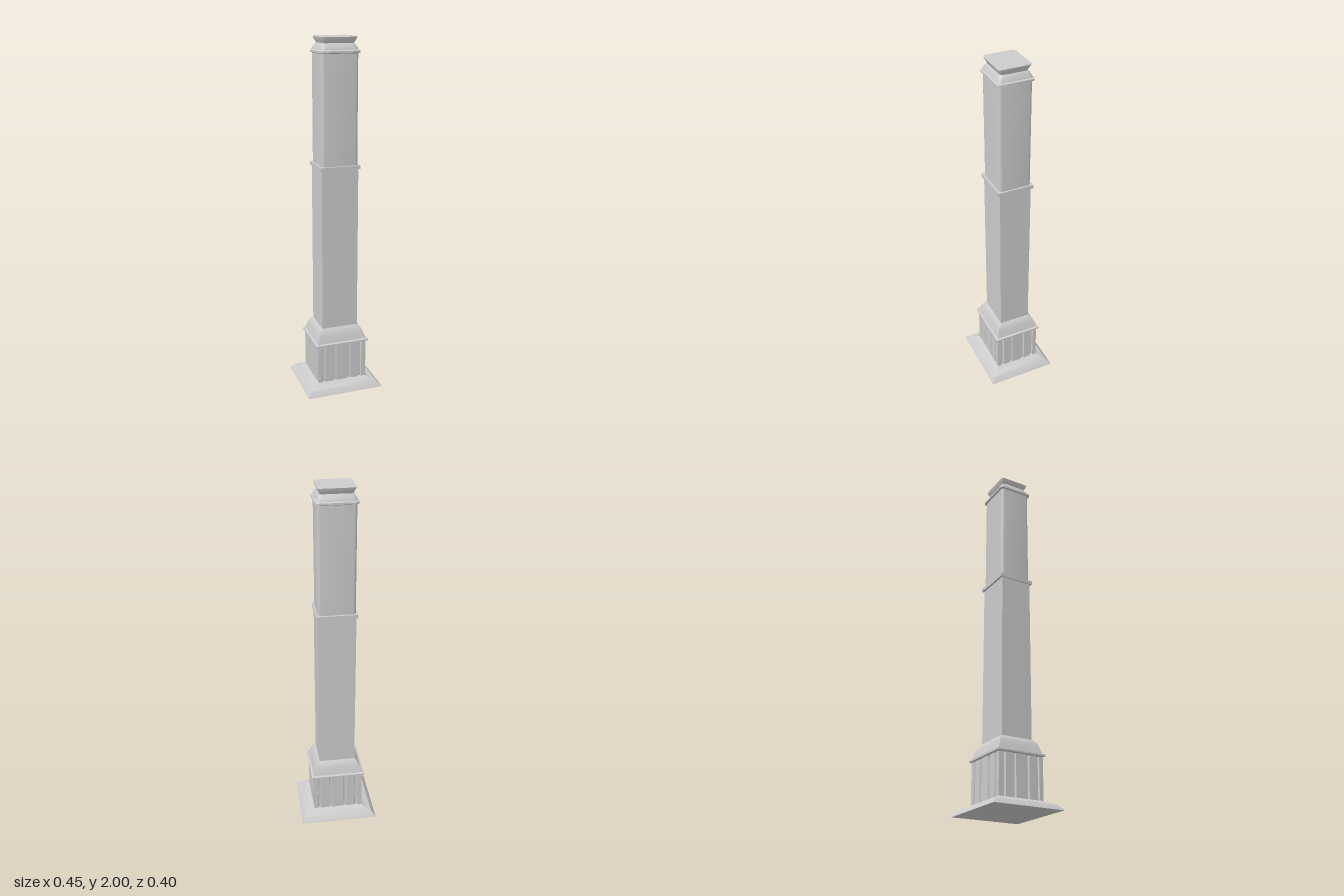
import * as THREE from 'three';
import { toCreasedNormals } from 'three/addons/utils/BufferGeometryUtils.js';

const material = new THREE.MeshStandardMaterial({ color: 0xcccccc });

// Rectangle outline with optional rounded corners, counter-clockwise from above
function ring(y, hx, hz, r, steps) {
  const points = [];
  const signs = [[1, 1], [-1, 1], [-1, -1], [1, -1]];
  signs.forEach(([sx, sz], corner) => {
    for (let i = 0; i <= steps; i++) {
      const a = (corner + (steps ? i / steps : 0.5)) * Math.PI / 2;
      const cx = sx * (hx - r), cz = sz * (hz - r);
      points.push(steps
        ? [cx + r * Math.cos(a), y, -(cz + r * Math.sin(a))]
        : [sx * hx, y, -sz * hz]);
    }
  });
  return points;
}

// Closed solid through stacked sections [y, halfWidth, halfDepth]
function loft(name, sections, r = 0, steps = 0, crease = 0.5) {
  const rings = sections.map(([y, hx, hz]) => ring(y, hx, hz, r, steps));
  const n = rings[0].length, pos = [];
  for (let k = 0; k < rings.length - 1; k++) {
    const lo = rings[k], hi = rings[k + 1];
    for (let i = 0; i < n; i++) {
      const j = (i + 1) % n;
      pos.push(...lo[i], ...lo[j], ...hi[j], ...lo[i], ...hi[j], ...hi[i]);
    }
  }
  const bottom = rings[0], top = rings[rings.length - 1];
  for (let i = 1; i < n - 1; i++) {
    pos.push(...bottom[0], ...bottom[i + 1], ...bottom[i]);
    pos.push(...top[0], ...top[i], ...top[i + 1]);
  }
  const geometry = new THREE.BufferGeometry();
  geometry.setAttribute('position', new THREE.Float32BufferAttribute(pos, 3));
  const mesh = new THREE.Mesh(toCreasedNormals(geometry, crease), material);
  mesh.name = name;
  return mesh;
}

// Pedestal block with vertical grooves cut into all four faces
function flutedBlock(hx, hz, y0, y1) {
  const depth = 0.01, half = 0.009;
  const outline = [];
  const sides = [
    { o: [0, -hz], d: [1, 0], h: hx }, { o: [hx, 0], d: [0, 1], h: hz },
    { o: [0, hz], d: [-1, 0], h: hx }, { o: [-hx, 0], d: [0, -1], h: hz },
  ];
  for (const { o, d, h } of sides) {
    const add = (t, inset) => outline.push(new THREE.Vector2(
      o[0] + d[0] * t - d[1] * inset, o[1] + d[1] * t + d[0] * inset));
    add(-h, 0);
    for (const f of [-0.76, -0.3, 0.3, 0.76]) {
      add(f * h - half, 0);
      add(f * h - half * 0.6, depth);
      add(f * h + half * 0.6, depth);
      add(f * h + half, 0);
    }
  }
  const geometry = new THREE.ExtrudeGeometry(new THREE.Shape(outline), { depth: y1 - y0, bevelEnabled: false });
  geometry.rotateX(-Math.PI / 2).translate(0, y0, 0);
  const mesh = new THREE.Mesh(geometry, material);
  mesh.name = 'flutedPedestal';
  return mesh;
}

export function createModel() {
  const group = new THREE.Group();
  group.name = 'squareColumn';
  group.add(
    // Spreading foot
    loft('plinth', [[0, 0.223, 0.2], [0.006, 0.22, 0.197], [0.03, 0.198, 0.177], [0.04, 0.165, 0.15], [0.052, 0.145, 0.13]]),
    flutedBlock(0.145, 0.13, 0.04, 0.285),
    // Moulding and sloped shoulder above the pedestal
    loft('pedestalCollar', [[0.276, 0.148, 0.132], [0.28, 0.156, 0.14], [0.289, 0.156, 0.14], [0.293, 0.148, 0.132]]),
    loft('shoulder', [[0.29, 0.146, 0.13], [0.315, 0.138, 0.122], [0.342, 0.129, 0.113], [0.36, 0.119, 0.103], [0.372, 0.106, 0.092]]),
    // Shaft in two lengths, the upper one with rounded corners
    loft('lowerShaft', [[0.365, 0.105, 0.09], [1.305, 0.105, 0.09]]),
    loft('middleBand', [[1.297, 0.113, 0.102], [1.317, 0.113, 0.102]]),
    loft('upperShaft', [[1.315, 0.103, 0.09], [1.92, 0.103, 0.09]], 0.015, 4),
    // Capital: ring, cove and flared cap
    loft('capitalRing', [[1.912, 0.104, 0.092], [1.916, 0.112, 0.1], [1.926, 0.112, 0.1], [1.931, 0.105, 0.093]], 0.018, 4),
    loft('capitalCove', [[1.929, 0.105, 0.093], [1.942, 0.101, 0.089], [1.957, 0.092, 0.08], [1.966, 0.085, 0.073]], 0.018, 4),
    loft('cap', [[1.962, 0.085, 0.073], [1.974, 0.09, 0.078], [1.99, 0.097, 0.087], [1.996, 0.098, 0.088], [2, 0.094, 0.083]], 0.016, 4),
  );
  return group;
}
